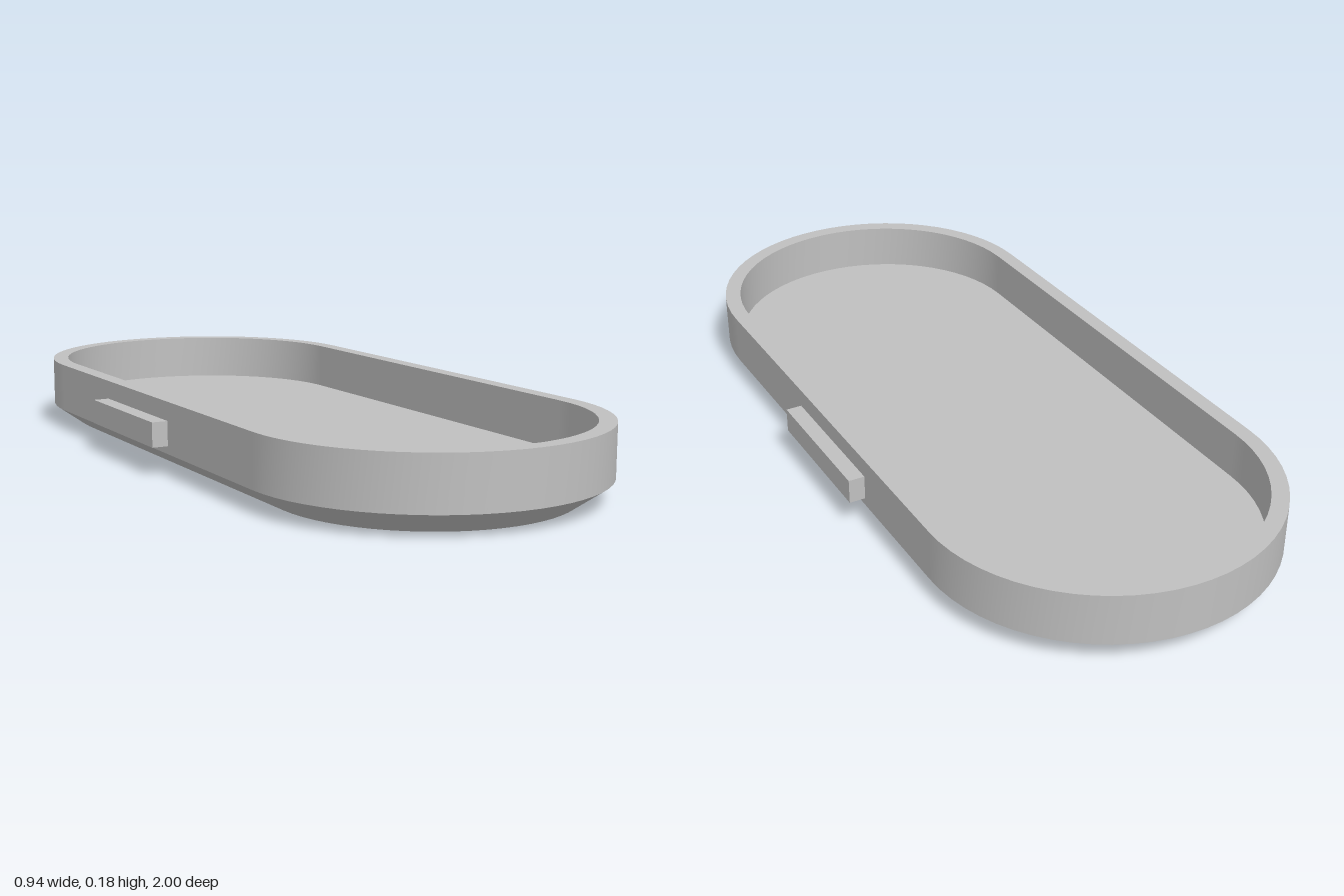
import * as THREE from 'three';

const ARC = 32;      // segments per rounded end
const CENTRE = 0.568; // z of the end-arc centres

// Stadium-shaped loop of radius r at height y; r = 0 collapses to the centre line
function ring(r, y) {
  const points = [];
  for (const end of [0, 1]) {
    for (let i = 0; i <= ARC; i++) {
      const a = Math.PI * (end + i / ARC);
      points.push(r * Math.cos(a), y, (end ? -CENTRE : CENTRE) + r * Math.sin(a));
    }
  }
  return points;
}

// Surface between two loops, smooth around the loop and sharp at its borders
function band([r0, y0], [r1, y1]) {
  const n = 2 * (ARC + 1);
  const index = [];
  for (let i = 0; i < n; i++) {
    const j = (i + 1) % n;
    index.push(i, n + i, j, j, n + i, n + j);
  }
  const geometry = new THREE.BufferGeometry();
  geometry.setAttribute('position', new THREE.Float32BufferAttribute([...ring(r0, y0), ...ring(r1, y1)], 3));
  geometry.setIndex(index);
  geometry.computeVertexNormals();
  return geometry;
}

export function createModel() {
  const model = new THREE.Group();
  model.name = 'tray';
  const grey = new THREE.MeshStandardMaterial({ color: 0xc0c0c0 });
  grey.name = 'light grey';

  const add = (name, geometry) => {
    const mesh = new THREE.Mesh(geometry, grey);
    mesh.name = name;
    model.add(mesh);
    return mesh;
  };

  // Tray cross-section, from the centre of the underside round to the inner floor
  const profile = [[0, 0], [0.357, 0], [0.432, 0.053], [0.432, 0.18], [0.391, 0.18], [0.391, 0.06], [0, 0.06]];
  const names = ['underside', 'chamfer', 'outerWall', 'rim', 'innerWall', 'floor'];
  names.forEach((name, i) => add(name, band(profile[i], profile[i + 1])));

  // Side tabs
  for (const side of [1, -1]) {
    const tab = add(side > 0 ? 'leftTab' : 'rightTab', new THREE.BoxGeometry(0.05, 0.061, 0.37));
    tab.position.set(side * 0.447, 0.103, -0.055);
  }
  return model;
}
